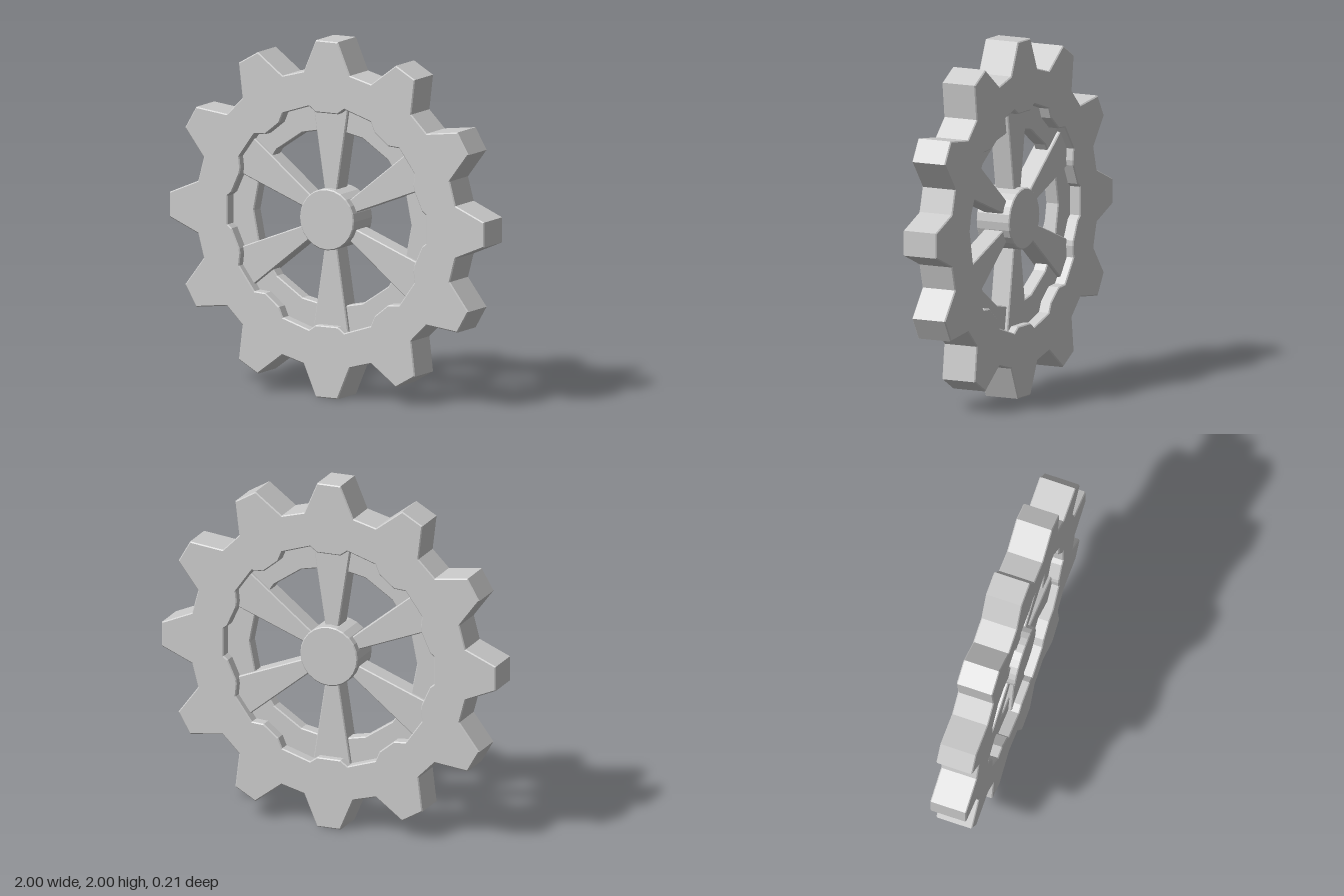
import * as THREE from 'three';

const material = new THREE.MeshStandardMaterial({ color: 0xcccccc, flatShading: true });
const BEVEL = 0.006;

// Extrudes an outline symmetrically about z = 0 with a small chamfer that stays inside the outline
function plate(name, outline, halfDepth, hole) {
  const shape = new THREE.Shape(outline);
  if (hole) shape.holes.push(new THREE.Path(hole));
  const geometry = new THREE.ExtrudeGeometry(shape, {
    depth: 2 * (halfDepth - BEVEL),
    bevelEnabled: true,
    bevelThickness: BEVEL,
    bevelSize: BEVEL,
    bevelOffset: -BEVEL,
    bevelSegments: 1,
  });
  geometry.translate(0, 0, -(halfDepth - BEVEL));
  const mesh = new THREE.Mesh(geometry, material);
  mesh.name = name;
  return mesh;
}

const polar = (r, a) => new THREE.Vector2(r * Math.cos(a), r * Math.sin(a));
const polygon = (r, sides) =>
  Array.from({ length: sides }, (_, i) => polar(r, (i / sides) * Math.PI * 2));

// Twelve tapered teeth, each a root, two tip corners and a root
function toothOutline() {
  const points = [];
  const profile = [[0.83, -0.178], [0.831, -0.178], [1, -0.07], [1, 0.07], [0.83, 0.178]];
  for (let i = 0; i < 12; i++) {
    const a = (i * Math.PI) / 6;
    points.push(polar(0.832, a + profile[0][1]));
    for (const [r, w] of [profile[2], profile[3]]) {
      points.push(new THREE.Vector2(r, w).rotateAround(new THREE.Vector2(), a));
    }
    points.push(polar(0.832, a + profile[4][1]));
  }
  return points;
}

// Wavy rim opening: one quarter, mirrored to the other three
function rimOpening() {
  const quarter = [
    [0.63, 0.08], [0.605, 0.1], [0.555, 0.21], [0.55, 0.24], [0.557, 0.305], [0.46, 0.44],
    [0.39, 0.445], [0.303, 0.515], [0.279, 0.572], [0.112, 0.626], [0.07, 0.596],
  ].map(([x, y]) => new THREE.Vector2(x, y));
  const flip = (pts, sx, sy) => pts.map((p) => new THREE.Vector2(p.x * sx, p.y * sy));
  const back = [...quarter].reverse();
  return [...quarter, ...flip(back, -1, 1), ...flip(quarter, -1, -1), ...flip(back, 1, -1)];
}

export function createModel() {
  const gear = new THREE.Group();
  gear.name = 'gearWheel';

  // Toothed rim and the thinner web ring set inside it
  gear.add(plate('toothedRim', toothOutline(), 0.105, rimOpening()));
  gear.add(plate('webRing', polygon(0.68, 48), 0.04, polygon(0.5, 16)));

  // Round hub
  gear.add(plate('hub', polygon(0.172, 24), 0.105));

  // Six spokes widening from the hub to the rim
  const spokeOutline = [[-0.03, 0.1], [0.03, 0.1], [0.114, 0.645], [-0.114, 0.645]]
    .map(([x, y]) => new THREE.Vector2(x, y));
  const spokes = new THREE.Group();
  spokes.name = 'spokes';
  for (let i = 0; i < 6; i++) {
    const spoke = plate('spoke', spokeOutline, 0.06);
    spoke.rotation.z = (i * Math.PI) / 3;
    spokes.add(spoke);
  }
  gear.add(spokes);

  gear.position.y = 1;
  const model = new THREE.Group();
  model.name = 'gear';
  model.add(gear);
  return model;
}
